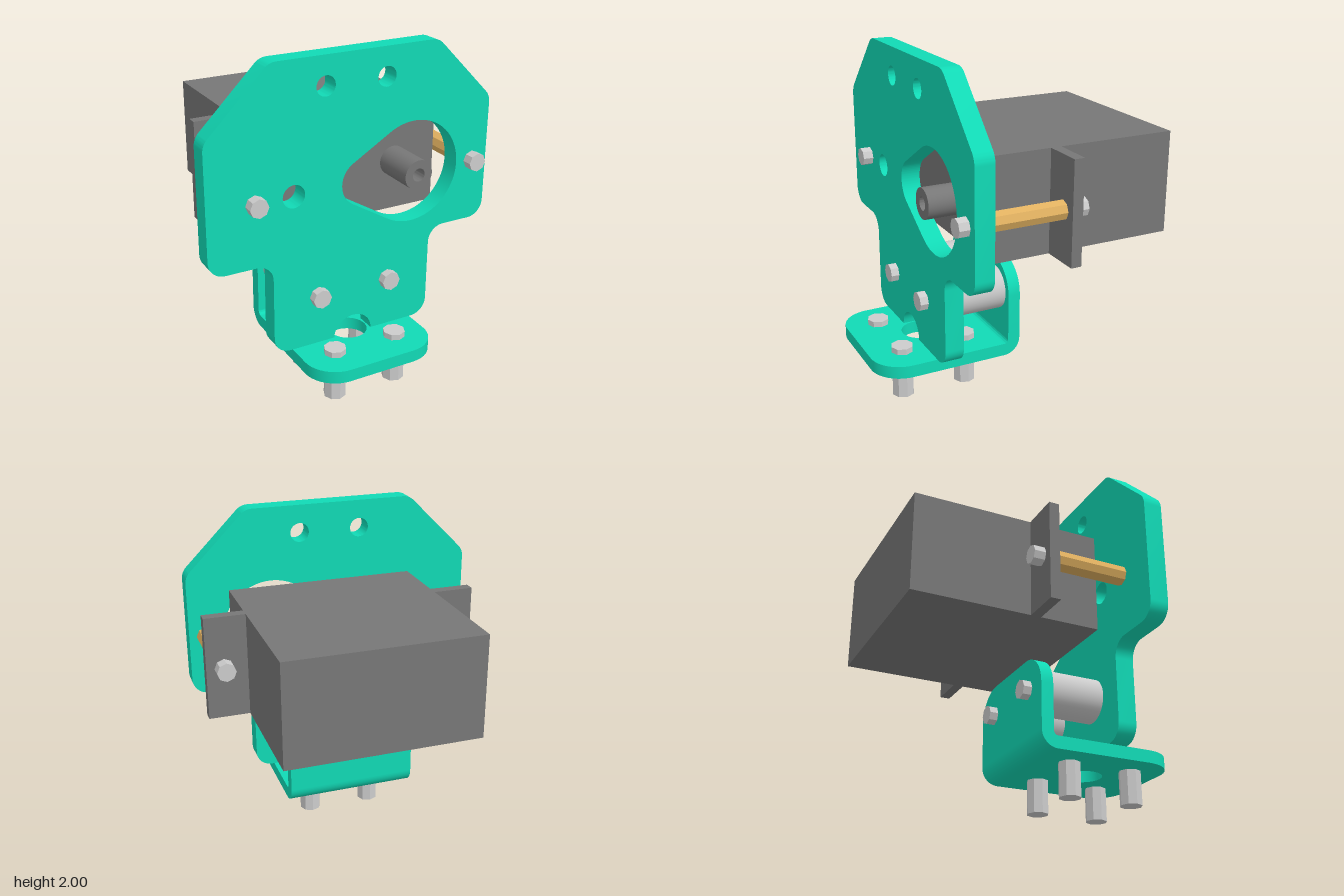
import * as THREE from 'three';
import { toCreasedNormals } from 'three/addons/utils/BufferGeometryUtils.js';

const mat = (color, flatShading = false) => new THREE.MeshStandardMaterial({ color, flatShading });
const teal = mat(0x11d9b5), dark = mat(0x777777), grey = mat(0xcccccc);
const steel = mat(0xcccccc, true), brass = mat(0xe0b060, true);

// Polygon whose corners [x, y, radius] are filleted with true arcs
function roundedShape(corners) {
  const pts = [];
  const n = corners.length;
  corners.forEach(([x, y, r], i) => {
    const p = new THREE.Vector2(x, y);
    if (!r) { pts.push(p); return; }
    const a = new THREE.Vector2(...corners[(i + n - 1) % n].slice(0, 2)).sub(p).normalize();
    const b = new THREE.Vector2(...corners[(i + 1) % n].slice(0, 2)).sub(p).normalize();
    const half = Math.acos(a.dot(b)) / 2;
    const c = a.clone().add(b).setLength(r / Math.sin(half)).add(p);
    const t = r / Math.tan(half);
    const s = a.multiplyScalar(t).add(p).sub(c), e = b.multiplyScalar(t).add(p).sub(c);
    const sweep = Math.atan2(s.cross(e), s.dot(e));
    for (let k = 0; k <= 10; k++) {
      pts.push(s.clone().rotateAround(new THREE.Vector2(), sweep * k / 10).add(c));
    }
  });
  return new THREE.Shape(pts);
}

const circle = (x, y, r) => new THREE.Path().absarc(x, y, r, 0, Math.PI * 2, true);

function extrude(shape, depth) {
  const g = new THREE.ExtrudeGeometry(shape, { depth, bevelEnabled: false, curveSegments: 24 });
  return toCreasedNormals(g, 0.5);
}

export function createModel() {
  const model = new THREE.Group();
  const add = (name, geometry, material, x = 0, y = 0, z = 0, parent = model) => {
    const m = new THREE.Mesh(geometry, material);
    m.name = name;
    m.position.set(x, y, z);
    parent.add(m);
    return m;
  };
  const box = (name, x0, x1, y0, y1, z0, z1, parent) =>
    add(name, new THREE.BoxGeometry(x1 - x0, y1 - y0, z1 - z0), dark,
      (x0 + x1) / 2, (y0 + y1) / 2, (z0 + z1) / 2, parent);
  // Rod along z from z0 to z1
  const rodZ = (name, x, y, z0, z1, r, material, sides = 8) =>
    add(name, new THREE.CylinderGeometry(r, r, z1 - z0, sides).rotateX(Math.PI / 2),
      material, x, y, (z0 + z1) / 2);
  const rodY = (name, x, z, y0, y1, r) =>
    add(name, new THREE.CylinderGeometry(r, r, y1 - y0, 8), steel, x, (y0 + y1) / 2, z);

  // Upright plate, with an arched notch in its bottom edge
  const right = [[0.515, 0.28, 0.1], [0.515, 0.86, 0.1], [0.9, 0.86, 0.1], [0.9, 1.62, 0.1], [0.52, 2, 0.1]];
  const left = right.map(([x, y, r]) => [-x, y, r]).reverse();
  const notch = [];
  for (let i = 0; i <= 16; i++) {
    const a = Math.PI * (1 - i / 16);
    notch.push([0.125 * Math.cos(a), 0.28 + 0.12 * Math.sin(a), 0]);
  }
  const plate = roundedShape([...notch, ...right, ...left]);
  plate.holes.push(circle(-0.19, 1.83, 0.058), circle(0.19, 1.83, 0.058), circle(-0.385, 1.238, 0.068));
  // Teardrop window: a large and a small arc joined by tangents
  const tilt = Math.PI / 2 + Math.asin(0.52);
  const window = new THREE.Path();
  window.absarc(0.38, 1.24, 0.308, tilt, -tilt, true);
  window.absarc(0.057, 1.24, 0.142, -tilt, tilt - Math.PI * 2, true);
  window.closePath();
  plate.holes.push(window);
  add('uprightPlate', extrude(plate, 0.115), teal, 0, 0, 0.39);

  // Angle bracket: base, bend and rear wall
  const bracket = new THREE.Group();
  bracket.name = 'angleBracket';
  model.add(bracket);
  const base = roundedShape([[-0.4, -0.845, 0.19], [0.4, -0.845, 0.19], [0.4, -0.07, 0], [-0.4, -0.07, 0]]);
  base.holes.push(circle(0, -0.445, 0.115));
  add('bracketBase', extrude(base, 0.075).rotateX(-Math.PI / 2), teal, 0, 0.205, 0, bracket);
  const wall = roundedShape([[-0.4, 0.305, 0], [0.4, 0.305, 0], [0.4, 0.775, 0.19], [-0.4, 0.775, 0.19]]);
  add('bracketWall', extrude(wall, 0.075), teal, 0, 0, -0.03, bracket);
  const bend = new THREE.Shape();
  bend.absarc(0.07, 0.305, 0.1, Math.PI, Math.PI * 1.5, false);
  bend.absarc(0.07, 0.305, 0.025, Math.PI * 1.5, Math.PI, true);
  add('bracketBend', extrude(bend, 0.8).rotateY(-Math.PI / 2), teal, 0.4, 0, 0, bracket);

  // Motor: body, mounting ears and hollow shaft
  const motor = new THREE.Group();
  motor.name = 'motor';
  model.add(motor);
  box('motorBody', -0.48, 0.66, 0.935, 1.545, -0.85, 0.3, motor);
  box('leftEar', 0.66, 0.9, 0.935, 1.545, -0.13, -0.067, motor);
  box('rightEar', -0.72, -0.48, 0.935, 1.545, -0.13, -0.067, motor);
  const ring = new THREE.Shape().absarc(0, 0, 0.09, 0, Math.PI * 2, false);
  ring.holes.push(circle(0, 0, 0.04));
  add('motorShaft', extrude(ring, 0.27), dark, 0.38, 1.24, 0.3, motor);

  // Brass standoffs between plate and ears, with bolt heads at both ends
  for (const x of [-0.618, 0.797]) {
    rodZ('brassStandoff', x, 1.238, -0.067, 0.39, 0.058, brass);
    rodZ('frontBoltHead', x, 1.238, 0.505, 0.567, 0.056, steel);
    rodZ('rearBoltHead', x, 1.238, -0.2, -0.13, 0.056, steel);
  }

  for (const s of [-1, 1]) {
    // Round spacers between plate and bracket wall
    rodZ('spacer', s * 0.23, 0.588, 0.045, 0.39, 0.132, grey, 40);
    rodZ('spacerFrontBolt', s * 0.23, 0.588, 0.505, 0.555, 0.058, steel);
    rodZ('spacerRearBolt', s * 0.23, 0.588, -0.082, -0.03, 0.058, steel);
    // Feet below the base, with bolt heads above
    for (const z of [0.245, 0.645]) {
      rodY('foot', s * 0.2, z, 0, 0.205, 0.066);
      rodY('footBoltHead', s * 0.2, z, 0.28, 0.315, 0.066);
    }
  }
  return model;
}
